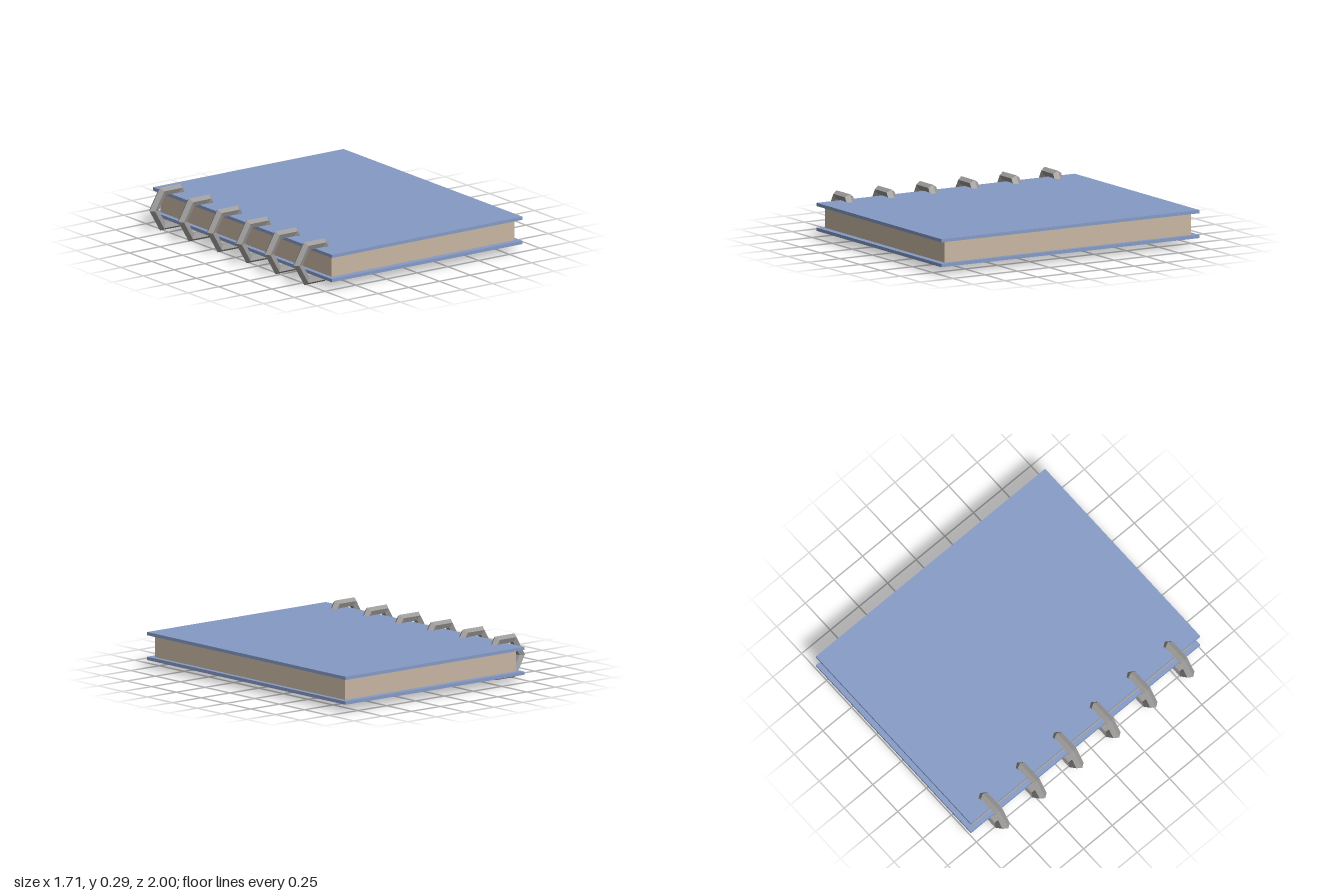
import * as THREE from 'three';

function material(name, color) {
  const m = new THREE.MeshStandardMaterial({ color });
  m.name = name;
  return m;
}

export function createModel() {
  const group = new THREE.Group();
  group.name = 'ringBinderNotebook';
  const coverBlue = material('coverBlue', 0x869bc6);
  const paperCream = material('paperCream', 0xc8b6a3);
  const ringMetal = material('ringMetal', 0x9c9a98);
  ringMetal.flatShading = true;

  const midY = 0.148;
  const bookX = 0.081;

  const add = (name, geometry, mat, x, y, z) => {
    const mesh = new THREE.Mesh(geometry, mat);
    mesh.name = name;
    mesh.position.set(x, y, z);
    group.add(mesh);
  };

  // Two overhanging covers
  const cover = new THREE.BoxGeometry(1.552, 0.022, 2);
  add('frontCover', cover, coverBlue, bookX, midY + 0.083, 0);
  add('backCover', cover, coverBlue, bookX, midY - 0.083, 0);

  // Page block between the covers
  add('pages', new THREE.BoxGeometry(1.488, 0.144, 1.912), paperCream, bookX, midY, 0);

  // Six hexagonal binding rings, five-sided in section, along the spine
  const ring = new THREE.TorusGeometry(0.136, 0.033, 5, 6);
  for (let i = 0; i < 6; i++) {
    add(`bindingRing${i + 1}`, ring, ringMetal, -0.688, midY, -0.814 + i * 0.3225);
  }
  return group;
}
